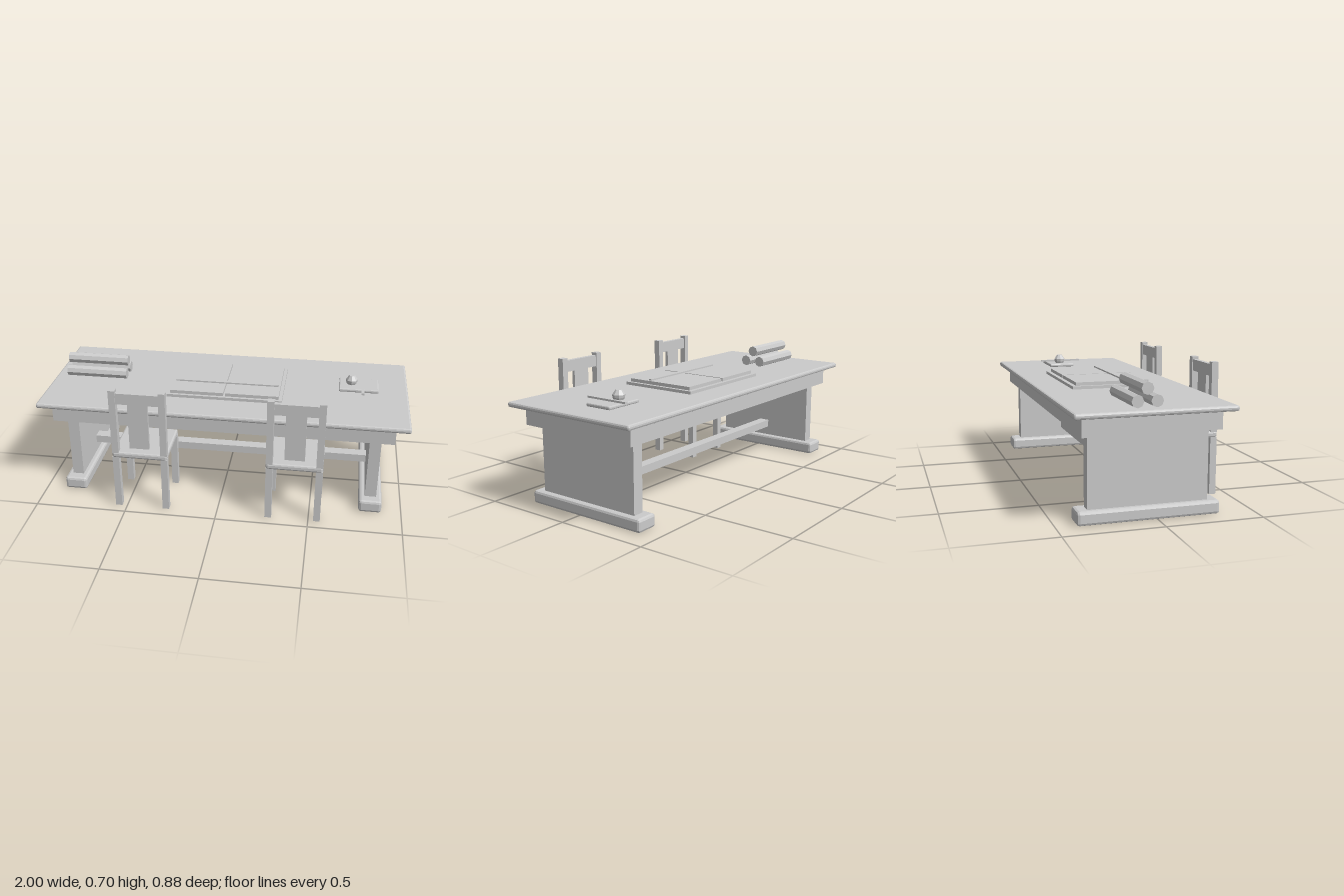
import * as THREE from 'three';
import { RoundedBoxGeometry } from 'three/addons/geometries/RoundedBoxGeometry.js';

const material = new THREE.MeshStandardMaterial({ color: 0xcccccc, flatShading: true });

function add(parent, name, geometry, x, y, z) {
  const mesh = new THREE.Mesh(geometry, material);
  mesh.name = name;
  mesh.position.set(x, y, z);
  parent.add(mesh);
  return mesh;
}

// Box given by its centre in x and z, its bottom and its size; bevel is optional
function box(parent, name, [x, bottom, z], [w, h, d], bevel = 0) {
  const geometry = bevel ? new RoundedBoxGeometry(w, h, d, 1, bevel) : new THREE.BoxGeometry(w, h, d);
  return add(parent, name, geometry, x, bottom + h / 2, z);
}

function group(parent, name) {
  const g = new THREE.Group();
  g.name = name;
  parent.add(g);
  return g;
}

function buildTable(parent) {
  const table = group(parent, 'table');
  const z = -0.04;
  box(table, 'tabletop', [0, 0.527, z], [2, 0.028, 0.8], 0.01);
  box(table, 'apron', [0, 0.43, z], [1.856, 0.098, 0.693]);
  box(table, 'stretcher', [0, 0.123, z], [1.61, 0.044, 0.06]);
  for (const side of [-1, 1]) {
    box(table, 'legPanel', [side * 0.83, 0.065, z], [0.062, 0.368, 0.608]);
    box(table, 'foot', [side * 0.83, 0, z], [0.124, 0.07, 0.72], 0.014);
  }
}

function buildChair(parent, x) {
  const chair = group(parent, 'chair');
  chair.position.x = x;
  const post = 0.036, backZ = 0.425, frontZ = 0.162;
  box(chair, 'seat', [0, 0.306, 0.294], [0.3, 0.034, 0.302], 0.01);
  for (const side of [-1, 1]) {
    const px = side * 0.132;
    box(chair, 'backLeg', [px, 0, backZ], [post, 0.31, post]);
    box(chair, 'frontLeg', [px, 0, frontZ], [post, 0.31, post]);
    box(chair, 'backPost', [px, 0.335, backZ], [post, 0.37, post]);
  }
  box(chair, 'topRail', [0, 0.628, backZ], [0.23, 0.062, 0.025]);
  box(chair, 'backSlat', [0, 0.366, backZ], [0.107, 0.264, 0.018]);
}

function buildBook(parent) {
  const book = group(parent, 'openBook');
  box(book, 'cover', [0, 0.554, -0.05], [0.634, 0.017, 0.44]);
  for (const side of [-1, 1]) {
    box(book, 'page', [side * 0.152, 0.57, -0.047], [0.293, 0.019, 0.402]);
  }
  box(book, 'ruler', [0, 0.588, 0.024], [0.575, 0.009, 0.02]);
}

function buildWritingSet(parent) {
  const set = group(parent, 'writingSet');
  box(set, 'tray', [0.728, 0.555, -0.102], [0.219, 0.019, 0.152], 0.006);
  box(set, 'pen', [0.75, 0.576, -0.083], [0.016, 0.01, 0.25]);
  const profile = [[0, 0], [0.026, 0], [0.031, 0.012], [0.033, 0.026], [0.02, 0.045], [0.016, 0.051], [0, 0.051]];
  const points = profile.map(([r, y]) => new THREE.Vector2(r, y));
  add(set, 'inkwell', new THREE.LatheGeometry(points, 8), 0.687, 0.573, -0.104);
}

function buildScrolls(parent) {
  const scrolls = group(parent, 'scrolls');
  // Two rolls on the table and one stacked on top
  for (const [y, z] of [[0.585, -0.026], [0.585, -0.122], [0.645, -0.074]]) {
    const roll = add(scrolls, 'scroll', new THREE.CylinderGeometry(0.031, 0.031, 0.346, 8), -0.76, y, z);
    roll.rotation.z = Math.PI / 2;
  }
}

export function createModel() {
  const model = new THREE.Group();
  model.name = 'tableWithChairs';
  buildTable(model);
  for (const side of [-1, 1]) buildChair(model, side * 0.414);
  buildBook(model);
  buildWritingSet(model);
  buildScrolls(model);
  return model;
}
